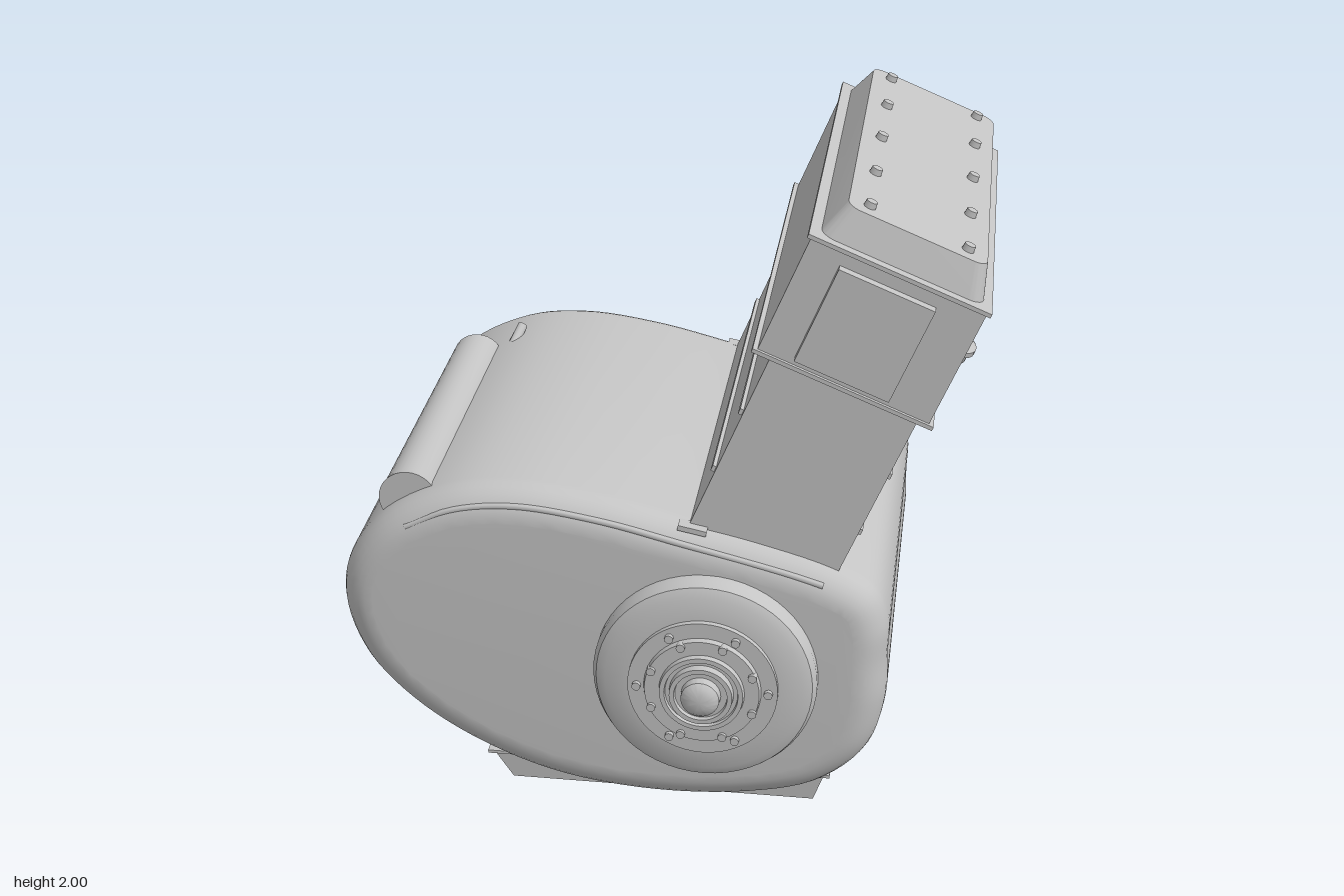
import * as THREE from 'three';
import { toCreasedNormals } from 'three/addons/utils/BufferGeometryUtils.js';

const metal = new THREE.MeshStandardMaterial({ color: 0xc4c4c4 });
metal.name = 'light grey metal';

function add(parent, name, geometry, x = 0, y = 0, z = 0) {
  const mesh = new THREE.Mesh(geometry, metal);
  mesh.name = name;
  mesh.position.set(x, y, z);
  parent.add(mesh);
  return mesh;
}

// Box given by its limits on each axis
function block(parent, name, x0, x1, y0, y1, z0, z1) {
  const g = new THREE.BoxGeometry(x1 - x0, y1 - y0, z1 - z0);
  return add(parent, name, g, (x0 + x1) / 2, (y0 + y1) / 2, (z0 + z1) / 2);
}

// Turned part whose axis points along +z (dir 1) or -z (dir -1)
function turned(points, dir, segments = 56) {
  const g = new THREE.LatheGeometry(points.map(([r, h]) => new THREE.Vector2(r, h)), segments);
  g.rotateX(dir * Math.PI / 2);
  return toCreasedNormals(g, 0.6);
}

function moveVertices(g, rule) {
  const p = g.attributes.position;
  const v = new THREE.Vector3();
  for (let i = 0; i < p.count; i++) {
    rule(v.fromBufferAttribute(p, i));
    p.setXYZ(i, v.x, v.y, v.z);
  }
  return g;
}

function roundedRect(w, h, r) {
  const s = new THREE.Shape();
  const x = w / 2 - r, y = h / 2 - r;
  s.absarc(x, y, r, 0, Math.PI / 2);
  s.absarc(-x, y, r, Math.PI / 2, Math.PI);
  s.absarc(-x, -y, r, Math.PI, Math.PI * 1.5);
  s.absarc(x, -y, r, Math.PI * 1.5, Math.PI * 2);
  return s;
}

function buildCase(root) {
  // Egg-shaped case with rounded front and back edges
  const outline = [[0.69, 0.6], [0.69, 0.72], [0.65, 0.83], [0.54, 0.9], [0.3, 0.975], [0.1, 1.02],
    [-0.15, 1.08], [-0.4, 1.11], [-0.6, 1.085], [-0.8, 0.98], [-0.91, 0.83], [-0.93, 0.68],
    [-0.87, 0.5], [-0.74, 0.35], [-0.55, 0.22], [-0.3, 0.12], [0, 0.08], [0.3, 0.1],
    [0.5, 0.16], [0.64, 0.29], [0.69, 0.46]].map(([x, y]) => new THREE.Vector3(x, y, 0));
  const points = new THREE.CatmullRomCurve3(outline, true).getPoints(110).slice(0, -1);
  const shape = new THREE.Shape(points.map(p => new THREE.Vector2(p.x, p.y)));
  const bevel = 0.1;
  const g = new THREE.ExtrudeGeometry(shape, {
    depth: 1.395 - 2 * bevel, bevelEnabled: true, bevelSize: bevel, bevelThickness: bevel,
    bevelOffset: -bevel, bevelSegments: 7,
  });
  g.translate(0, 0, -0.71 + bevel);
  add(root, 'crankcase', toCreasedNormals(g, 0.7));

  // Lip along the upper front edge
  const lip = new THREE.CatmullRomCurve3([[-0.72, 0.97], [-0.58, 1.035], [-0.4, 1.06], [-0.15, 1.03],
    [0.1, 0.97], [0.4, 0.895], [0.5, 0.865]].map(([x, y]) => new THREE.Vector3(x, y, 0.667)));
  add(root, 'frontLip', new THREE.TubeGeometry(lip, 40, 0.01, 8));

  // Breather pipe with a chamfered rear end, and a peg beside it
  const pipe = turned([[0, -0.58], [0.088, -0.58], [0.083, -0.55], [0.083, 0.42], [0.045, 0.46], [0, 0.46]], -1, 32);
  add(root, 'breatherPipe', pipe, -0.73, 1.015, 0);
  const peg = add(root, 'peg', new THREE.CylinderGeometry(0.016, 0.016, 0.09, 14), -0.605, 1.085, -0.45);
  peg.rotation.set(-0.9, 0, -0.3);
}

function buildCovers(root) {
  const cx = 0.165, cy = 0.555;
  // Stepped front cover with concentric rings
  add(root, 'frontCover', turned([[0.33, 0.64], [0.33, 0.715], [0.318, 0.738], [0.29, 0.752], [0.22, 0.757],
    [0.22, 0.774], [0.172, 0.774], [0.168, 0.79], [0.125, 0.79], [0.122, 0.806], [0.108, 0.806], [0.106, 0.795],
    [0.094, 0.795], [0.092, 0.818], [0.078, 0.818], [0.076, 0.805], [0.058, 0.805], [0.056, 0.832],
    [0.045, 0.843], [0.025, 0.85], [0, 0.851]], 1), cx, cy, 0);
  const ring = (count, radius, offset, z) => {
    for (let i = 0; i < count; i++) {
      const a = offset + i * Math.PI * 2 / count;
      const bolt = new THREE.CylinderGeometry(0.013, 0.013, 0.03, 12).rotateX(Math.PI / 2);
      add(root, 'coverBolt', bolt, cx + radius * Math.cos(a), cy + radius * Math.sin(a), z);
    }
  };
  ring(6, 0.193, 0, 0.772);
  ring(8, 0.16, Math.PI / 8, 0.785);

  // Domed rear cover with a nub
  const dome = [[0.305, 0.66], [0.305, 0.732], [0.292, 0.738]];
  for (let i = 1; i <= 10; i++) {
    const a = i / 10 * Math.PI / 2;
    dome.push([0.292 * Math.cos(a), 0.738 + 0.1 * Math.sin(a)]);
  }
  add(root, 'rearDome', turned(dome, -1), cx, cy, 0);
  const nub = new THREE.CylinderGeometry(0.05, 0.05, 0.06, 24).rotateX(Math.PI / 2);
  add(root, 'rearDomeNub', nub, cx, cy, -0.822);
  add(root, 'rearPlug', nub, -0.36, 0.465, -0.703);
}

function buildPan(root) {
  // Oil pan with slanted ends
  const g = moveVertices(new THREE.BoxGeometry(1.03, 0.1, 1.105), v => {
    if (v.y < 0) v.x += v.x < 0 ? 0.06 : -0.035;
    if (v.y < 0) v.z *= 0.985;
  }).toNonIndexed();
  g.computeVertexNormals();
  add(root, 'oilPan', g, 0, 0.08, -0.01);
  block(root, 'panFlange', -0.53, 0.53, 0.12, 0.13, -0.565, 0.55);
  add(root, 'drainPlug', new THREE.CylinderGeometry(0.03, 0.03, 0.04, 20), 0, 0.02, -0.01);
}

function buildHead(root) {
  // Everything here leans to the side together
  const head = new THREE.Group();
  head.name = 'cylinderBank';
  head.rotation.z = -Math.PI / 8;
  root.add(head);

  block(head, 'cylinderBlock', -0.289, 0.158, 0.8, 1.58, -0.632, 0.622);
  for (const v of [1.163, 1.363]) {
    block(head, 'rib', -0.3, 0.169, v - 0.009, v + 0.009, -0.61, 0.6);
  }
  block(head, 'cylinderHead', -0.332, 0.187, 1.57, 1.95, -0.648, 0.637);
  block(head, 'lowerFlange', -0.346, 0.201, 1.567, 1.579, -0.66, 0.648);
  block(head, 'upperFlange', -0.343, 0.198, 1.942, 1.954, -0.66, 0.648);
  block(head, 'frontPlate', -0.23, 0.055, 1.602, 1.903, 0.63, 0.667);

  // Tapered top cover with rounded corners and two rows of bolts
  const cover = new THREE.ExtrudeGeometry(roundedRect(0.486, 1.27, 0.045), { depth: 0.102, bevelEnabled: false, curveSegments: 6 });
  cover.rotateX(-Math.PI / 2);
  moveVertices(cover, v => {
    if (v.y > 0.05) { v.x *= 0.85; v.z *= 0.955; }
  });
  add(head, 'topCover', toCreasedNormals(cover, 0.6), -0.07, 1.949, -0.018);
  for (const u of [-0.216, 0.076]) {
    for (const z of [-0.57, -0.31, -0.02, 0.27, 0.53]) {
      add(head, 'topBolt', new THREE.CylinderGeometry(0.016, 0.019, 0.03, 14), u, 2.054, z);
    }
  }

  // Mushroom-shaped plugs on the outer side
  for (const z of [0.43, 0.14, -0.15, -0.44]) {
    const plug = new THREE.LatheGeometry([[0, 1.695], [0.042, 1.695], [0.054, 1.71], [0.054, 1.737], [0.072, 1.741],
      [0.072, 1.757], [0.05, 1.769], [0, 1.771]].map(([r, h]) => new THREE.Vector2(r, h)), 28);
    plug.scale(0.75, 1, 1);
    add(head, 'sidePlug', toCreasedNormals(plug, 0.6), 0.187, 0, z);
  }

  // Mounting tabs at the foot of the bank
  for (const z of [-0.64, 0.63]) {
    add(root, 'mountTab', new THREE.BoxGeometry(0.085, 0.016, 0.045), 0.118, 1.008, z).rotation.z = -0.2;
  }
}

export function createModel() {
  const root = new THREE.Group();
  root.name = 'engine';
  buildCase(root);
  buildCovers(root);
  buildPan(root);
  buildHead(root);
  return root;
}
